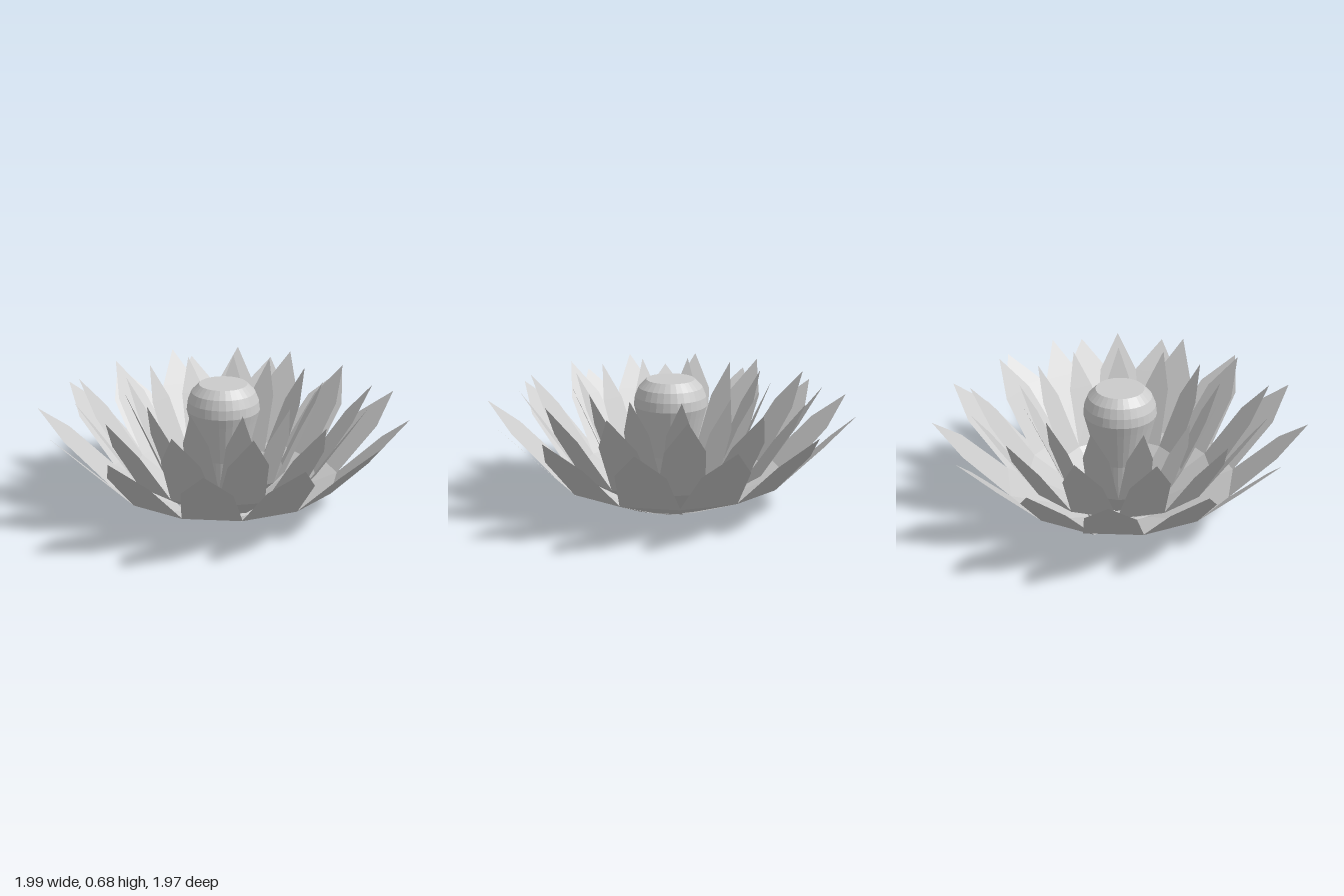
import * as THREE from 'three';

const petalMat = new THREE.MeshStandardMaterial({ color: 0xcccccc, flatShading: true, side: THREE.DoubleSide });
const podMat = new THREE.MeshStandardMaterial({ color: 0xcccccc, flatShading: true });

// Petal cross-sections: [distance from centre, height, half width]; the last is the tip
const SECTIONS = [[0.25, 0.005, 0.11], [0.61, 0.155, 0.155], [0.85, 0.395, 0.128], [1.0, 0.545, 0]];

// A folded, pointed petal reaching along +x
function petalGeometry(radial, vertical) {
  const pos = [], index = [];
  SECTIONS.forEach(([r, y, w], i) => {
    for (const s of [1, -1]) pos.push(r * radial, y * vertical, s * w * radial);
    if (i > 0) {
      const a = 2 * i - 2;
      index.push(a, a + 1, a + 2);
      if (w > 0) index.push(a + 1, a + 3, a + 2);
    }
  });
  const g = new THREE.BufferGeometry();
  g.setAttribute('position', new THREE.Float32BufferAttribute(pos, 3));
  g.setIndex(index);
  const flat = g.toNonIndexed();
  flat.computeVertexNormals();
  return flat;
}

// Thirteen petals, set a little wider than an even spacing
function petalRing(name, radial, vertical, startDegrees) {
  const ring = new THREE.Group();
  ring.name = name;
  const geometry = petalGeometry(radial, vertical);
  for (let i = 0; i < 13; i++) {
    const petal = new THREE.Mesh(geometry, petalMat);
    petal.name = 'petal';
    petal.rotation.y = -(THREE.MathUtils.degToRad(startDegrees) + i * 0.49);
    ring.add(petal);
  }
  return ring;
}

export function createModel() {
  const flower = new THREE.Group();
  flower.name = 'lotusFlower';
  flower.position.z = -0.015;

  flower.add(
    petalRing('outerPetals', 1.0, 1.0, 257.4),
    petalRing('middlePetals', 0.81, 1.2, 326),
    petalRing('innerPetals', 0.54, 1.25, 326)
  );

  // Seed pod: tapered stem, rounded shoulder and flat top
  const profile = [
    [0, 0.01], [0.1, 0.01], [0.13, 0.27], [0.185, 0.49], [0.198, 0.54],
    [0.192, 0.59], [0.172, 0.64], [0.13, 0.682], [0, 0.682]
  ].map(([r, y]) => new THREE.Vector2(r, y));
  const pod = new THREE.Mesh(new THREE.LatheGeometry(profile, 32), podMat);
  pod.name = 'seedPod';
  flower.add(pod);

  // Flat underside
  const base = new THREE.Mesh(new THREE.CylinderGeometry(0.25, 0.25, 0.006, 26), podMat);
  base.name = 'base';
  base.position.y = 0.003;
  flower.add(base);

  const model = new THREE.Group();
  model.name = 'lotus';
  model.add(flower);
  return model;
}
